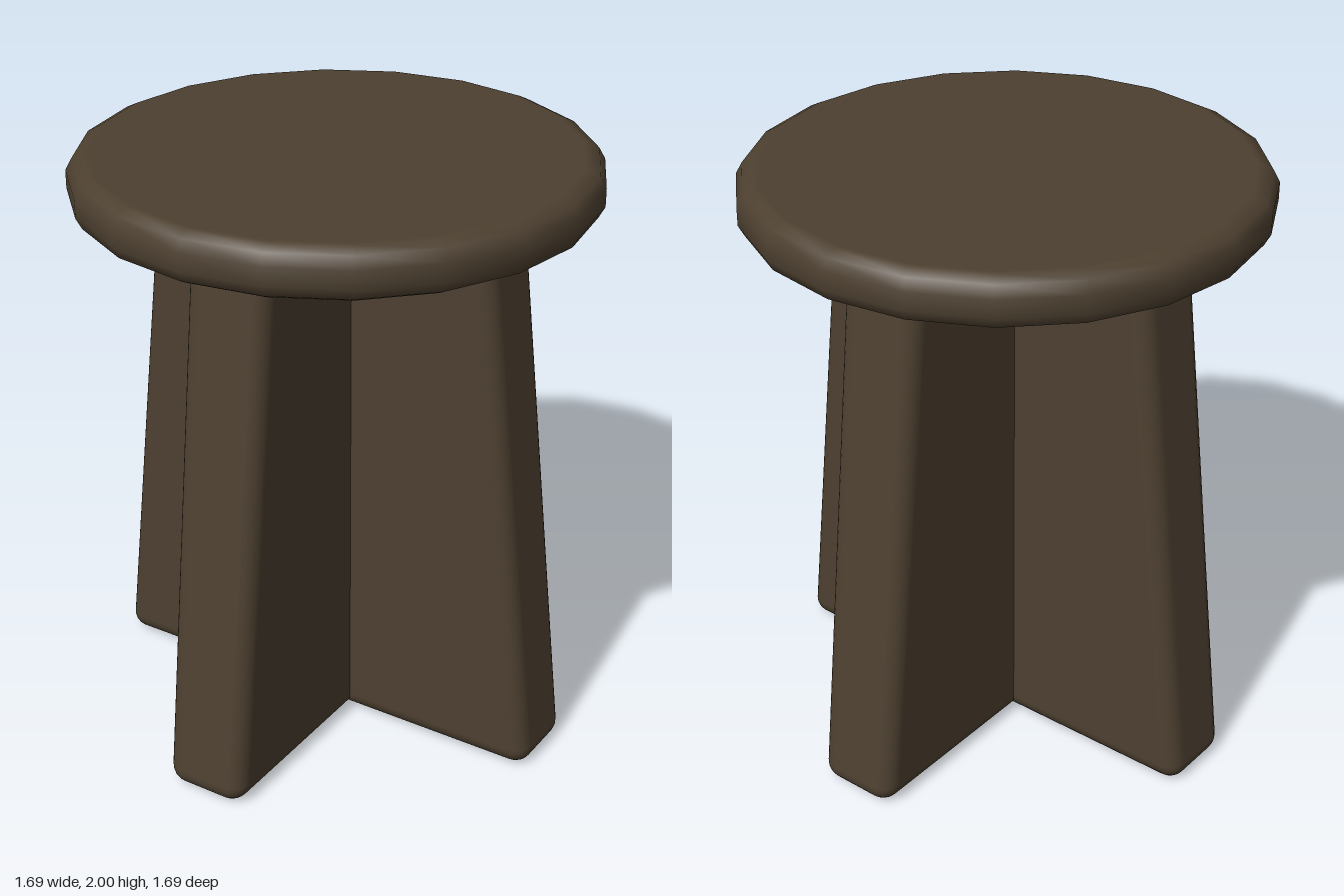
import * as THREE from 'three';
import { RoundedBoxGeometry } from 'three/addons/geometries/RoundedBoxGeometry.js';

const wood = new THREE.MeshStandardMaterial({ color: 0x4d4030 });
wood.name = 'darkWood';

// Rounded board whose ends lean inwards towards the top
function taperedBoard(halfBottom, slope, height, thickness, radius) {
  const geo = new RoundedBoxGeometry(halfBottom * 2, height, thickness, 3, radius);
  geo.translate(0, height / 2, 0);
  const pos = geo.attributes.position;
  const nor = geo.attributes.normal;
  const n = new THREE.Vector3();
  for (let i = 0; i < pos.count; i++) {
    const side = Math.sign(pos.getX(i));
    pos.setX(i, pos.getX(i) - side * slope * pos.getY(i));
    n.fromBufferAttribute(nor, i);
    n.y += n.x * side * slope;
    n.normalize();
    nor.setXYZ(i, n.x, n.y, n.z);
  }
  return geo;
}

export function createModel() {
  const stool = new THREE.Group();
  stool.name = 'stool';

  // Twenty-sided seat with a rounded rim
  const profile = [
    [0, 1.83], [0.785, 1.83], [0.8, 1.83], [0.835, 1.848], [0.855, 1.885],
    [0.855, 1.945], [0.835, 1.982], [0.8, 2], [0.785, 2], [0, 2],
  ].map(([x, y]) => new THREE.Vector2(x, y));
  const seat = new THREE.Mesh(new THREE.LatheGeometry(profile, 20, Math.PI / 20), wood);
  seat.name = 'seat';
  stool.add(seat);

  // Two crossed boards form the base
  const boardGeo = taperedBoard(0.834, 0.113, 1.92, 0.294, 0.065);
  ['legBoardAcross', 'legBoardThrough'].forEach((name, i) => {
    const board = new THREE.Mesh(boardGeo, wood);
    board.name = name;
    board.rotation.y = THREE.MathUtils.degToRad(27 + 90 * i);
    stool.add(board);
  });

  return stool;
}
